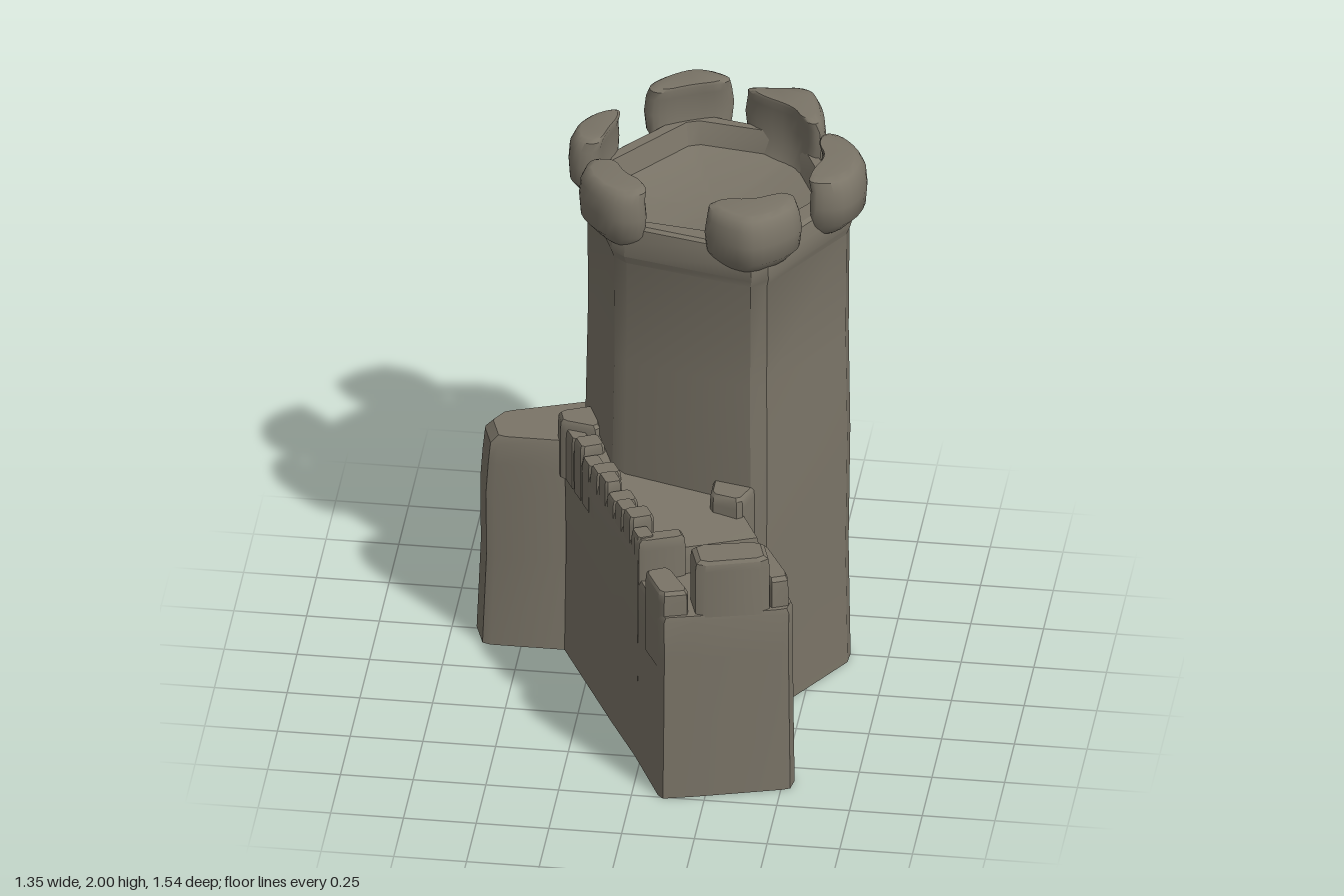
import * as THREE from 'three';
import { toCreasedNormals } from 'three/addons/utils/BufferGeometryUtils.js';

const stone = new THREE.MeshStandardMaterial({ color: 0x7a7467 });
stone.name = 'stone';

// Corner cutting: t is the share of each edge kept beside a corner
function roundOff(points, t = 0.25, times = 1) {
  for (let k = 0; k < times; k++) {
    points = points.flatMap((p, i) => {
      const a = points[(i + points.length - 1) % points.length];
      const b = points[(i + 1) % points.length];
      return [a, b].map(q => [p[0] + (q[0] - p[0]) * t, p[1] + (q[1] - p[1]) * t]);
    });
  }
  return points;
}

// Stacks a ground outline [x, z] through levels { y, s: scale, dx, dz, round: radius of a circle }
function loft(name, outline, levels, { pivot, tilt = () => 0, crease = 0.6 } = {}) {
  const flat = pts => pts.map(p => new THREE.Vector2(p[0], -p[1]));
  if (THREE.ShapeUtils.area(flat(outline)) < 0) outline = [...outline].reverse();
  const n = outline.length;
  const c = pivot || [0, 1].map(k => outline.reduce((sum, p) => sum + p[k], 0) / n);
  const top = levels[levels.length - 1].y;
  const pos = [], idx = [];
  for (const { y, s = 1, dx = 0, dz = 0, round } of levels) {
    for (const [px, pz] of outline) {
      let x = px - c[0], z = pz - c[1];
      const k = round ? round / Math.hypot(x, z) : s;
      x = c[0] + x * k + dx;
      z = c[1] + z * k + dz;
      pos.push(x, y + tilt(x, z) * y / top, z);
    }
  }
  for (let i = 0; i < levels.length - 1; i++) {
    for (let j = 0; j < n; j++) {
      const a = i * n + j, b = i * n + (j + 1) % n;
      idx.push(a, b, b + n, a, b + n, a + n);
    }
  }
  const last = (levels.length - 1) * n;
  for (const [a, b, d] of THREE.ShapeUtils.triangulateShape(flat(outline), [])) {
    idx.push(last + a, last + b, last + d, a, d, b);
  }
  const geometry = new THREE.BufferGeometry();
  geometry.setAttribute('position', new THREE.Float32BufferAttribute(pos, 3));
  geometry.setIndex(idx);
  const mesh = new THREE.Mesh(toCreasedNormals(geometry.toNonIndexed(), crease), stone);
  mesh.name = name;
  return mesh;
}

// A worn block with a softened top
const block = (name, outline, y0, y1) => loft(name, roundOff(outline, 0.12), [
  { y: y0 }, { y: y1 - 0.04 }, { y: y1 - 0.012, s: 0.97 }, { y: y1, s: 0.85 },
]);

export function createModel() {
  const model = new THREE.Group();

  // Six-sided tower, with a rim folding inwards to a sunken round floor
  const hexagon = [[0.635, -0.25], [0.41, -0.63], [0.0, -0.72], [-0.31, -0.33], [-0.15, 0.06], [0.37, 0.18]];
  model.add(loft('tower', roundOff(hexagon, 0.07), [
    { y: 0, dz: 0.02 },
    { y: 0.45, s: 0.985, dz: 0.02 },
    { y: 0.9, s: 0.995, dz: 0.01 },
    { y: 1.3, s: 0.98 },
    { y: 1.7, s: 0.985, dz: -0.005 },
    { y: 1.73, s: 1.01, dz: -0.005 },
    { y: 1.79, s: 1.0 },
    { y: 1.84, s: 0.97 },
    { y: 1.85, s: 0.94 },
    { y: 1.85, round: 0.38 },
    { y: 1.77, round: 0.355 },
    { y: 1.74, round: 0.22 },
    { y: 1.73, round: 0.05 },
  ], { pivot: [0.155, -0.28], crease: 0.5 }));

  // Swollen merlons wrapped round the corners: outer curve, then inner curve
  const merlons = [
    [[0.52, -0.43], [0.6, -0.4], [0.69, -0.27], [0.64, -0.08], [0.5, -0.06], [0.51, -0.14], [0.55, -0.25], [0.5, -0.35]],
    [[0.19, -0.68], [0.29, -0.69], [0.43, -0.71], [0.48, -0.62], [0.51, -0.46], [0.45, -0.46], [0.4, -0.55], [0.25, -0.62]],
    [[-0.15, -0.63], [-0.08, -0.72], [0.03, -0.79], [0.16, -0.74], [0.14, -0.69], [0.02, -0.65], [-0.1, -0.58]],
    [[-0.34, -0.23], [-0.36, -0.33], [-0.3, -0.44], [-0.21, -0.49], [-0.2, -0.42], [-0.23, -0.33], [-0.25, -0.22]],
    [[-0.28, -0.14], [-0.29, -0.03], [-0.16, 0.11], [-0.04, 0.09], [-0.05, 0.01], [-0.14, -0.05], [-0.19, -0.15]],
    [[0.16, 0.13], [0.25, 0.2], [0.36, 0.23], [0.5, 0.09], [0.47, -0.01], [0.41, 0.02], [0.33, 0.07], [0.2, 0.08]],
  ];
  const hub = [0.155, -0.28];
  merlons.forEach((outline, i) => {
    const mid = [0, 1].map(k => outline.reduce((sum, p) => sum + p[k], 0) / outline.length);
    const reach = Math.hypot(mid[0] - hub[0], mid[1] - hub[1]);
    const inward = d => ({ dx: (hub[0] - mid[0]) / reach * d, dz: (hub[1] - mid[1]) / reach * d });
    model.add(loft('merlon' + (i + 1), roundOff(outline, 0.25, 2), [
      { y: 1.73, s: 0.55, ...inward(0.05) },
      { y: 1.77, s: 0.8, ...inward(0.025) },
      { y: 1.82, s: 0.98 },
      { y: 1.89, s: 1.03 },
      { y: 1.95, s: 0.98 },
      { y: 1.985, s: 0.92, ...inward(0.012) },
      { y: 1.995, s: 0.78, ...inward(0.015) },
    ], { crease: 0.8 }));
  });

  // Weathered curtain wall on the tower's right-hand side
  model.add(loft('sideWall', roundOff([
    [-0.67, -0.27], [-0.63, -0.15], [-0.3, -0.15], [0, -0.3], [-0.05, -0.63], [-0.3, -0.46], [-0.63, -0.34],
  ], 0.08), [
    { y: 0 }, { y: 0.35, s: 0.965 }, { y: 0.6, s: 0.97 }, { y: 0.72, s: 0.95 },
    { y: 0.8, s: 0.93 }, { y: 0.83, s: 0.86 },
  ], { pivot: [-0.25, -0.25] }));

  // Front curtain wall, its walkway climbing to the tower
  model.add(loft('frontWall', [
    [-0.35, -0.15], [-0.13, 0.29], [-0.01, 0.52], [0.39, 0.36], [0.3, 0.2], [0.22, 0], [-0.1, -0.2],
  ], [{ y: 0 }, { y: 0.4, s: 0.985 }, { y: 0.78 }, { y: 0.82, s: 0.97 }],
  { tilt: (x, z) => Math.max(0, 0.35 - z) * 0.15 }));

  // End bastion with a low floor and its own battlements
  model.add(loft('bastion', roundOff([
    [-0.03, 0.48], [0.1, 0.76], [0.22, 0.73], [0.53, 0.64], [0.54, 0.58], [0.37, 0.3],
  ], 0.08), [
    { y: 0 }, { y: 0.3, s: 0.985 }, { y: 0.55, s: 0.975 }, { y: 0.7, s: 0.98 }, { y: 0.72, s: 0.95 },
  ]));
  model.add(block('bastionFrontMerlon', [[0.22, 0.725], [0.465, 0.655], [0.43, 0.54], [0.18, 0.6]], 0.5, 0.93));
  model.add(block('bastionCornerMerlon', [[0.1, 0.745], [0.02, 0.59], [0.1, 0.55], [0.2, 0.715]], 0.5, 0.81));
  model.add(block('bastionSideParapet', [[0.53, 0.61], [0.41, 0.39], [0.36, 0.42], [0.46, 0.64]], 0.6, 0.83));
  model.add(block('bastionStep', [[0.0, 0.53], [0.15, 0.47], [0.13, 0.42], [-0.03, 0.48]], 0.6, 0.88));

  // Low stepped parapet along the outer edge of the front wall
  const count = 9;
  for (let i = 0; i < count; i++) {
    const at = t => [-0.345 + 0.34 * t, -0.13 + 0.65 * t];
    const [x0, z0] = at(i / count), [x1, z1] = at((i + 0.96) / count);
    const w = 0.055 + 0.025 * (i % 2);
    model.add(block('parapetStone' + (i + 1),
      [[x0, z0], [x1, z1], [x1 + w, z1 - w * 0.45], [x0 + w, z0 - w * 0.45]],
      0.7, 0.9 + 0.018 * Math.sin(i * 2.1)));
  }

  // Broken stones where the walls meet the tower
  model.add(block('cornerStone', [[-0.38, -0.2], [-0.36, -0.13], [-0.22, -0.1], [-0.24, -0.26]], 0.7, 0.93));
  model.add(block('junctionStone', [[0.2, 0.24], [0.31, 0.27], [0.36, 0.14], [0.2, 0.1]], 0.7, 0.91));

  return model;
}
